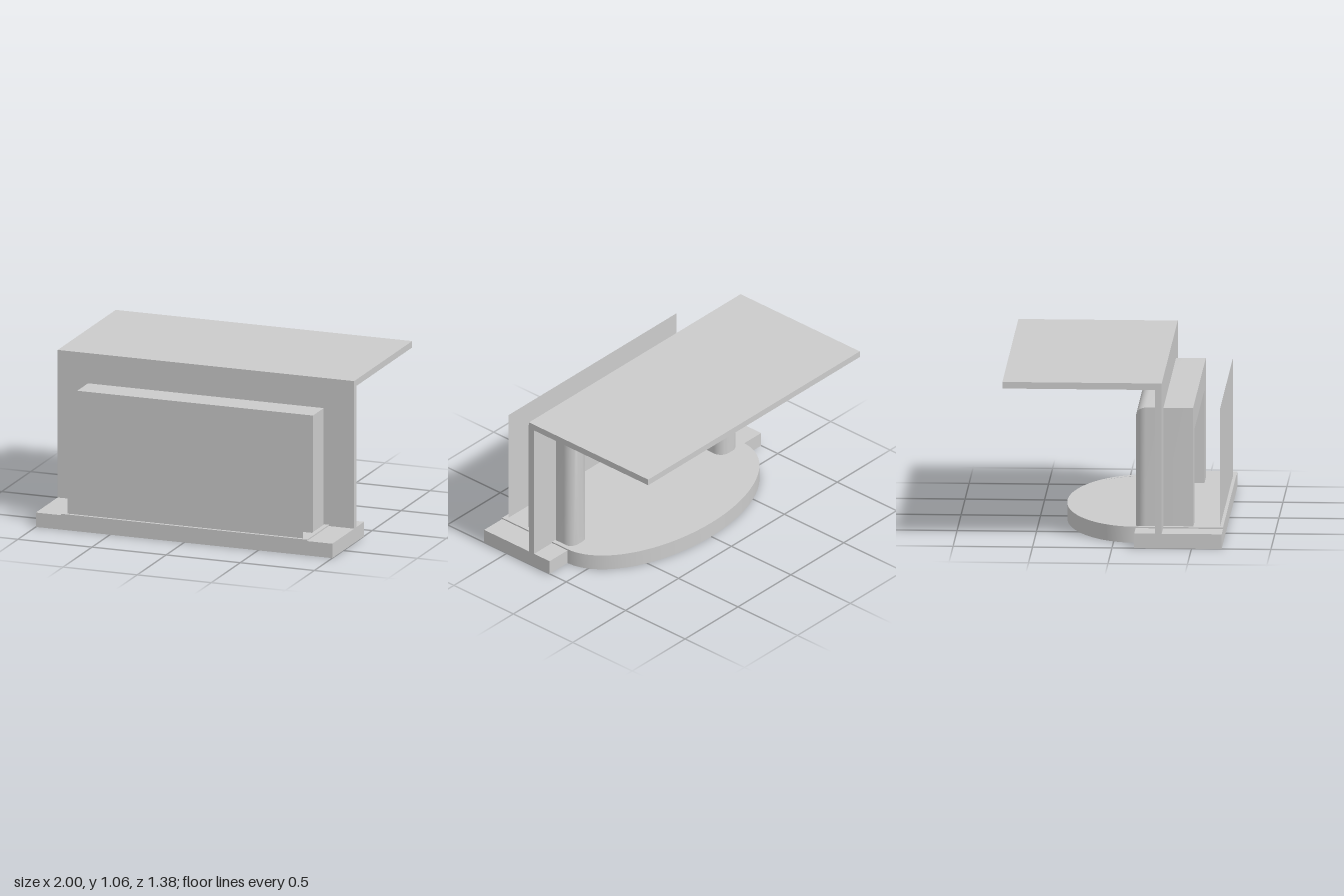
import * as THREE from 'three';
import { toCreasedNormals } from 'three/addons/utils/BufferGeometryUtils.js';

const material = new THREE.MeshStandardMaterial({ color: 0xcccccc });
const thinMaterial = new THREE.MeshStandardMaterial({ color: 0xcccccc, side: THREE.DoubleSide });

const FLOOR = 0.094;   // top of the base slab
const BACK = 0.14;     // z where the hearth curve starts
const FRONT = 0.69;

function addMesh(group, name, geometry, mat = material) {
  const mesh = new THREE.Mesh(geometry, mat);
  mesh.name = name;
  group.add(mesh);
  return mesh;
}

// Extrudes a plan (x, z) from height y0 up to y1
function extrudePlan(shape, y0, y1) {
  const g = new THREE.ExtrudeGeometry(shape, { depth: y1 - y0, bevelEnabled: false, curveSegments: 64 });
  g.rotateX(Math.PI / 2);
  g.translate(0, y1, 0);
  return toCreasedNormals(g, 0.4);
}

// Plan with a half-ellipse bulging towards -z
function hearthPlan(path, halfWidth, depth, front) {
  path.moveTo(halfWidth, front);
  path.lineTo(halfWidth, BACK);
  path.absellipse(0, BACK, halfWidth, depth, 0, -Math.PI, true);
  path.lineTo(-halfWidth, front);
  path.closePath();
  return path;
}

// Sweeps a rounded bar profile around a square portal with mitred corners
function portalGeometry() {
  const width = 0.17, r = 0.065, zBack = 0.138, zFront = 0.5, steps = 10;
  const profile = [[0, zFront]];
  for (let side = 0; side < 2; side++) {
    for (let i = 0; i <= steps; i++) {
      const a = (i / steps + side) * Math.PI / 2;
      const cu = side ? width - r : r;
      profile.push([cu - r * Math.cos(a), zBack + r - r * Math.sin(a)]);
    }
  }
  profile.push([width, zFront]);

  const positions = [], index = [], n = profile.length;
  for (let s = 0; s < 4; s++) {
    for (const [u, z] of profile) {
      const x = 0.795 - u, top = 0.86 - u;
      positions.push(s < 2 ? x : -x, s === 1 || s === 2 ? top : FLOOR, z);
    }
  }
  for (let s = 0; s < 3; s++) {
    for (let i = 0; i < n; i++) {
      const j = (i + 1) % n;
      const a = s * n + i, b = s * n + j, c = b + n, d = a + n;
      index.push(a, b, c, a, c, d);
    }
  }
  const g = new THREE.BufferGeometry();
  g.setAttribute('position', new THREE.Float32BufferAttribute(positions, 3));
  g.setIndex(index);
  return toCreasedNormals(g, 0.5);
}

export function createModel() {
  const group = new THREE.Group();
  group.name = 'fireplace';

  // Base slab with the curved hearth in one outline
  const base = new THREE.Shape();
  base.moveTo(1, FRONT);
  base.lineTo(1, BACK);
  base.lineTo(0.83, BACK);
  base.absellipse(0, BACK, 0.83, 0.47, 0, -Math.PI, true);
  base.lineTo(-1, BACK);
  base.lineTo(-1, FRONT);
  base.closePath();
  addMesh(group, 'baseSlab', extrudePlan(base, 0, FLOOR));

  // Low raised rim around the hearth
  const rim = hearthPlan(new THREE.Shape(), 0.83, 0.47, FRONT);
  rim.holes.push(hearthPlan(new THREE.Path(), 0.8, 0.44, 0.67));
  addMesh(group, 'hearthRim', extrudePlan(rim, FLOOR, 0.103));

  // Upright wall, cut out inside the portal
  const wall = new THREE.Shape();
  [[-1, FLOOR], [-0.71, FLOOR], [-0.71, 0.77], [0.71, 0.77], [0.71, FLOOR], [1, FLOOR], [1, 1.015], [-1, 1.015]]
    .forEach(([x, y], i) => (i ? wall.lineTo(x, y) : wall.moveTo(x, y)));
  wall.closePath();
  const wallMesh = addMesh(group, 'wall', new THREE.ExtrudeGeometry(wall, { depth: 0.043, bevelEnabled: false }));
  wallMesh.position.z = 0.27;

  // Shelf along the top of the wall
  const shelf = addMesh(group, 'shelf', new THREE.BoxGeometry(2, 0.042, 1.003));
  shelf.position.set(0, 1.036, -0.1885);

  // Rounded surround passing through the wall
  addMesh(group, 'portal', portalGeometry());

  // Thin sheet closing the firebox
  const panel = addMesh(group, 'fireboxPanel', new THREE.PlaneGeometry(1.59, 0.86 - FLOOR), thinMaterial);
  panel.position.set(0, (0.86 + FLOOR) / 2, 0.67);

  return group;
}
